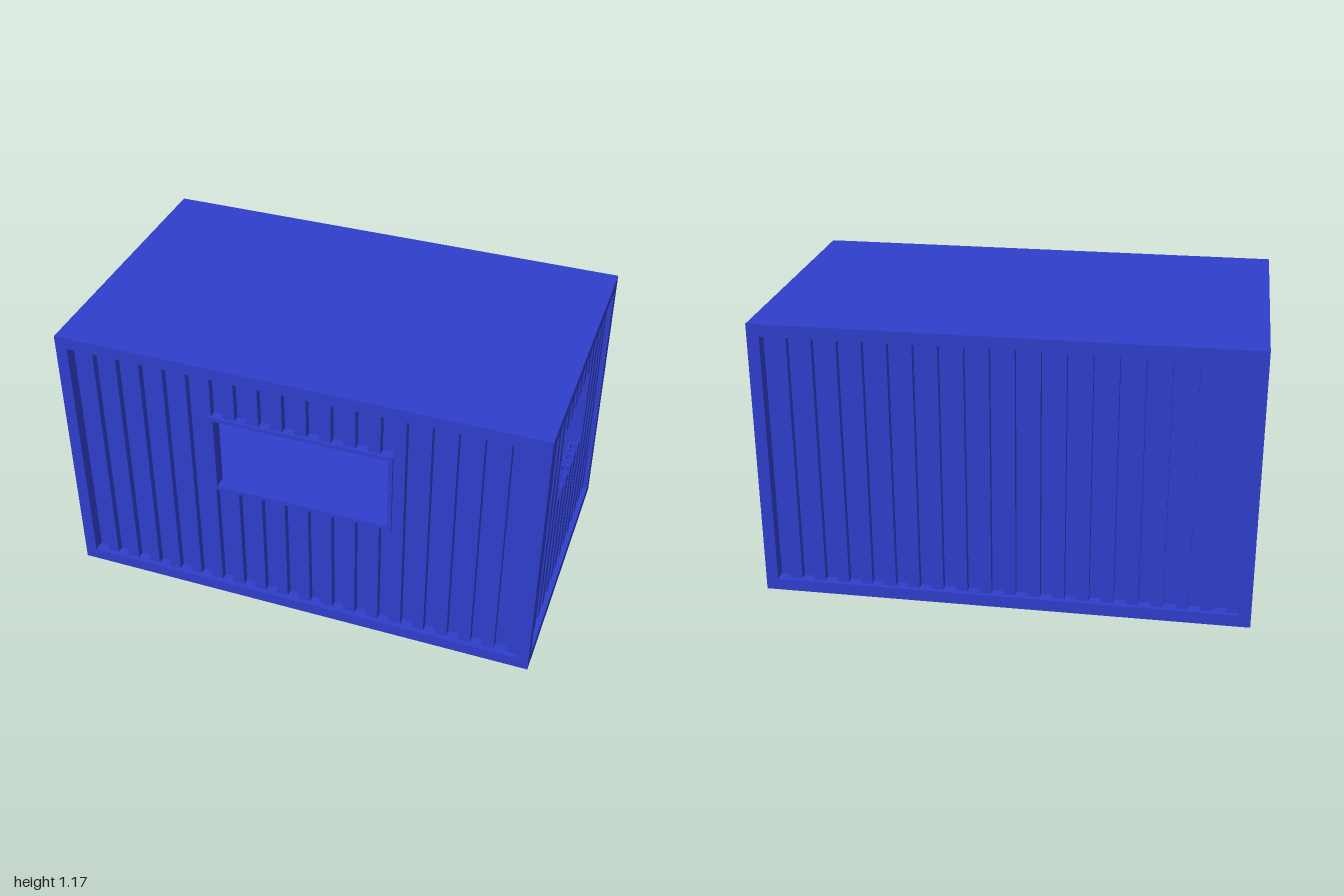
import * as THREE from 'three';

const W = 2, H = 1.17, D = 1.2, BAR = 0.05; // outer size and frame bar
const RIB = 0.02, GROOVE = 0.05, SHEET = 0.01; // depths behind the frame face

export function createModel() {
  const root = new THREE.Group();
  root.name = 'container';
  const mat = new THREE.MeshStandardMaterial({ color: 0x2f3ecb, flatShading: true });

  function add(parent, name, geo, x = 0, y = 0, z = 0) {
    const m = new THREE.Mesh(geo, mat);
    m.name = name;
    m.position.set(x, y, z);
    parent.add(m);
    return m;
  }
  const box = (parent, name, w, h, d, x, y, z) =>
    add(parent, name, new THREE.BoxGeometry(w, h, d), x, y, z);

  // Floor, roof and corner posts
  box(root, 'floor', W, BAR, D, 0, BAR / 2, 0);
  box(root, 'roof', W, BAR, D, 0, H - BAR / 2, 0);
  for (const sx of [-1, 1]) for (const sz of [-1, 1])
    box(root, 'cornerPost', BAR, H - 2 * BAR, BAR, sx * (W - BAR) / 2, H / 2, sz * (D - BAR) / 2);

  // Thin square-wave sheet from u0 to u1, extruded upward from y0 to y1
  function sheet(parent, half, count, u0, u1, y0, y1) {
    const step = 2 * half / count;
    const outer = [], inner = [];
    const depth = i => (i % 2 ? RIB : GROOVE);
    const clamp = u => Math.min(u1, Math.max(u0, u));
    for (let i = 0; i < count; i++) {
      const a = -half + i * step, b = a + step;
      if (b <= u0 + 1e-6 || a >= u1 - 1e-6) continue;
      const d = depth(i), s = d === RIB ? SHEET : -SHEET;
      outer.push([clamp(a), d], [clamp(b), d]);
      // the inner skin is narrower behind ribs and wider behind grooves
      inner.push([a <= u0 ? u0 : clamp(a + s), d + SHEET], [b >= u1 ? u1 : clamp(b - s), d + SHEET]);
    }
    const pts = [...outer, ...inner.reverse()].map(p => new THREE.Vector2(p[0], p[1]));
    const geo = new THREE.ExtrudeGeometry(new THREE.Shape(pts), { depth: y1 - y0, bevelEnabled: false });
    geo.rotateX(-Math.PI / 2);
    add(parent, 'corrugatedSheet', geo, 0, y0, 0);
  }

  // Wall in its own frame: outer plane at z = 0, optional opening
  function wall(name, width, count, angle, dist, hole, rim) {
    const g = new THREE.Group();
    g.name = name;
    g.rotation.y = angle;
    g.position.set(Math.sin(angle) * dist, 0, Math.cos(angle) * dist);
    root.add(g);
    const half = width / 2 - BAR, y0 = BAR, y1 = H - BAR;
    if (!hole) {
      sheet(g, half, count, -half, half, y0, y1);
      return;
    }
    const [a, b, c, d] = hole; // left, right, bottom, top
    sheet(g, half, count, -half, a, y0, y1);
    sheet(g, half, count, b, half, y0, y1);
    sheet(g, half, count, a, b, y0, c);
    sheet(g, half, count, a, b, d, y1);
    if (rim) {
      // Window frame around the opening
      const r = rim;
      const s = new THREE.Shape([[a - r, c - r], [b + r, c - r], [b + r, d + r], [a - r, d + r]]
        .map(p => new THREE.Vector2(...p)));
      s.holes.push(new THREE.Path([[a, c], [a, d], [b, d], [b, c]].map(p => new THREE.Vector2(...p))));
      add(g, 'windowFrame', new THREE.ExtrudeGeometry(s, { depth: 0.055, bevelEnabled: false }), 0, 0, -0.065);
    }
  }

  wall('frontWall', W, 38, 0, D / 2, [-0.34, 0.385, 0.58, 0.91], 0.017);
  wall('backWall', W, 38, Math.PI, D / 2);
  wall('leftWall', D, 28, Math.PI / 2, W / 2, [-0.195, 0.235, 0.567, 0.917]);
  wall('rightWall', D, 28, -Math.PI / 2, W / 2, [-0.225, 0.19, 0.578, 0.91], 0.017);
  return root;
}
